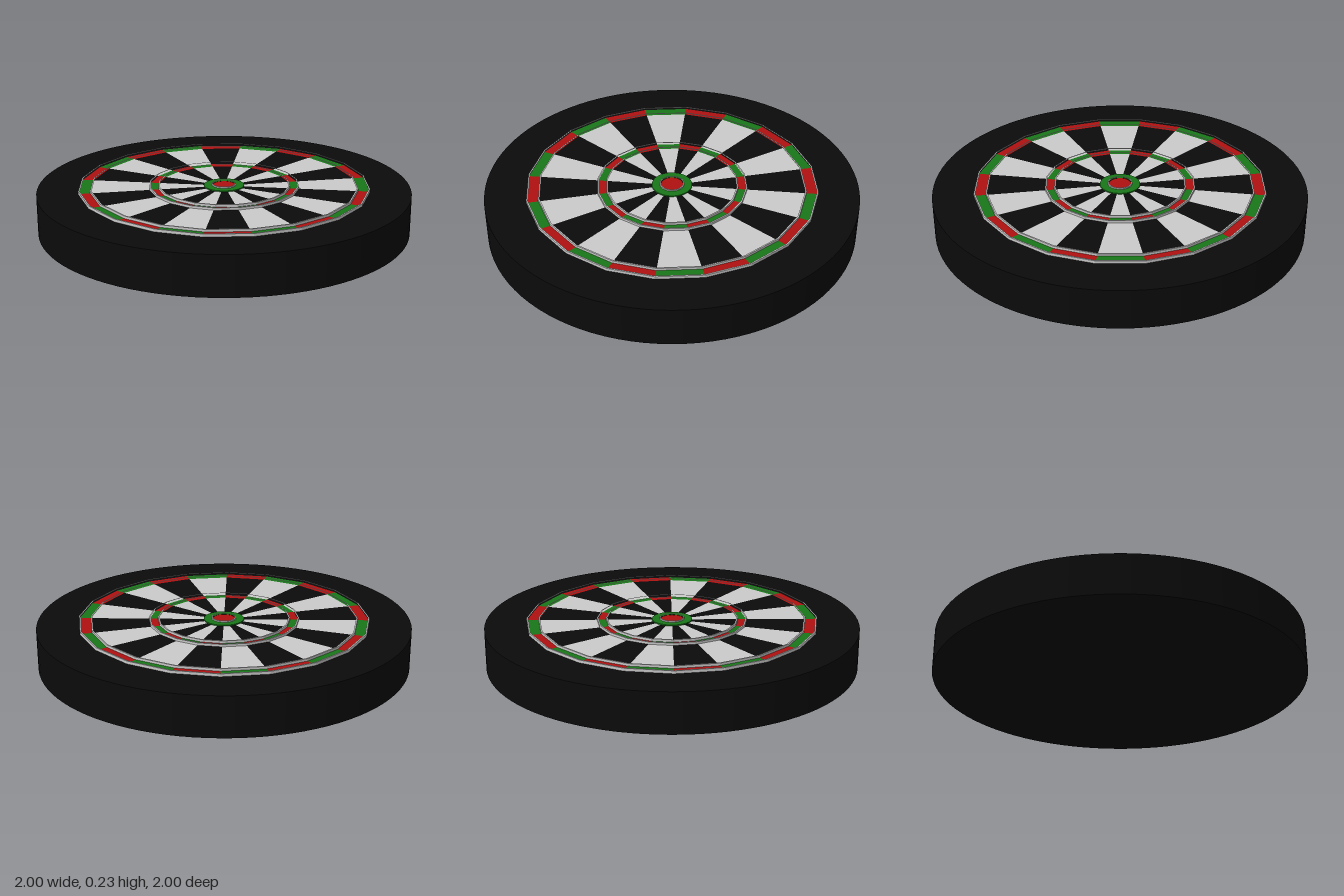
import * as THREE from 'three';

const SIDES = 20;
const TOP = 0.215; // playing surface height
const STEP = (Math.PI * 2) / SIDES;
const CORNER = 1 / Math.cos(STEP / 2); // flat distance to corner distance

const material = (color) => new THREE.MeshStandardMaterial({ color, roughness: 0.8 });
const black = material(0x0b0b0b);
const red = material(0xb01010);
const green = material(0x187818);
const grey = material(0xcccccc);

// Point in the board plane; angle 0 points to the back (-z), clockwise from above
const point = (r, a) => new THREE.Vector2(Math.sin(a) * r, Math.cos(a) * r);

function polygon(r, sides) {
  return Array.from({ length: sides }, (_, i) => point(r, ((i + 0.5) * Math.PI * 2) / sides));
}

// Extrude a flat shape upwards from height y
function slab(name, shape, y, height, mat) {
  const geometry = new THREE.ExtrudeGeometry(shape, { depth: height, bevelEnabled: false, curveSegments: 48 });
  geometry.rotateX(-Math.PI / 2).translate(0, y, 0);
  const mesh = new THREE.Mesh(geometry, mat);
  mesh.name = name;
  return mesh;
}

function ring(name, inner, outer, sides, y, height, mat) {
  const shape = new THREE.Shape(polygon(outer, sides));
  shape.holes.push(new THREE.Path(polygon(inner, sides)));
  return slab(name, shape, y, height, mat);
}

// One straight-edged field of sector i, between two flat distances
function field(name, i, inner, outer, mat) {
  const a = (i - 0.5) * STEP;
  const b = (i + 0.5) * STEP;
  const shape = new THREE.Shape([
    point(inner * CORNER, a), point(outer * CORNER, a),
    point(outer * CORNER, b), point(inner * CORNER, b),
  ]);
  return slab(name, shape, TOP - 0.004, 0.006, mat);
}

export function createModel() {
  const model = new THREE.Group();
  model.name = 'dartboard';

  // Round backing board
  const body = new THREE.Mesh(new THREE.CylinderGeometry(1, 1, TOP, 96), black);
  body.name = 'board';
  body.position.y = TOP / 2;
  model.add(body);

  // Alternating sectors with their two scoring bands
  const sectors = new THREE.Group();
  sectors.name = 'sectors';
  for (let i = 0; i < SIDES; i++) {
    const even = i % 2 === 0;
    const single = even ? black : grey;
    const band = even ? red : green;
    sectors.add(
      field('innerSingle', i, 0.09, 0.35, single),
      field('innerBand', i, 0.35, 0.395, band),
      field('outerSingle', i, 0.395, 0.71, single),
      field('outerBand', i, 0.71, 0.77, band),
    );
  }
  model.add(sectors);

  // Raised twenty-sided wires along the bands
  for (const r of [0.347, 0.395, 0.706, 0.768]) {
    model.add(ring('wire', (r - 0.004) * CORNER, (r + 0.004) * CORNER, SIDES, TOP - 0.002, 0.017, grey));
  }

  // Centre target
  model.add(ring('outerBull', 0.062, 0.108, 48, TOP - 0.002, 0.01, green));
  model.add(ring('bullWire', 0.059, 0.066, 48, TOP - 0.002, 0.017, grey));
  model.add(slab('innerBull', new THREE.Shape(polygon(0.06, 48)), TOP - 0.002, 0.01, red));

  return model;
}
